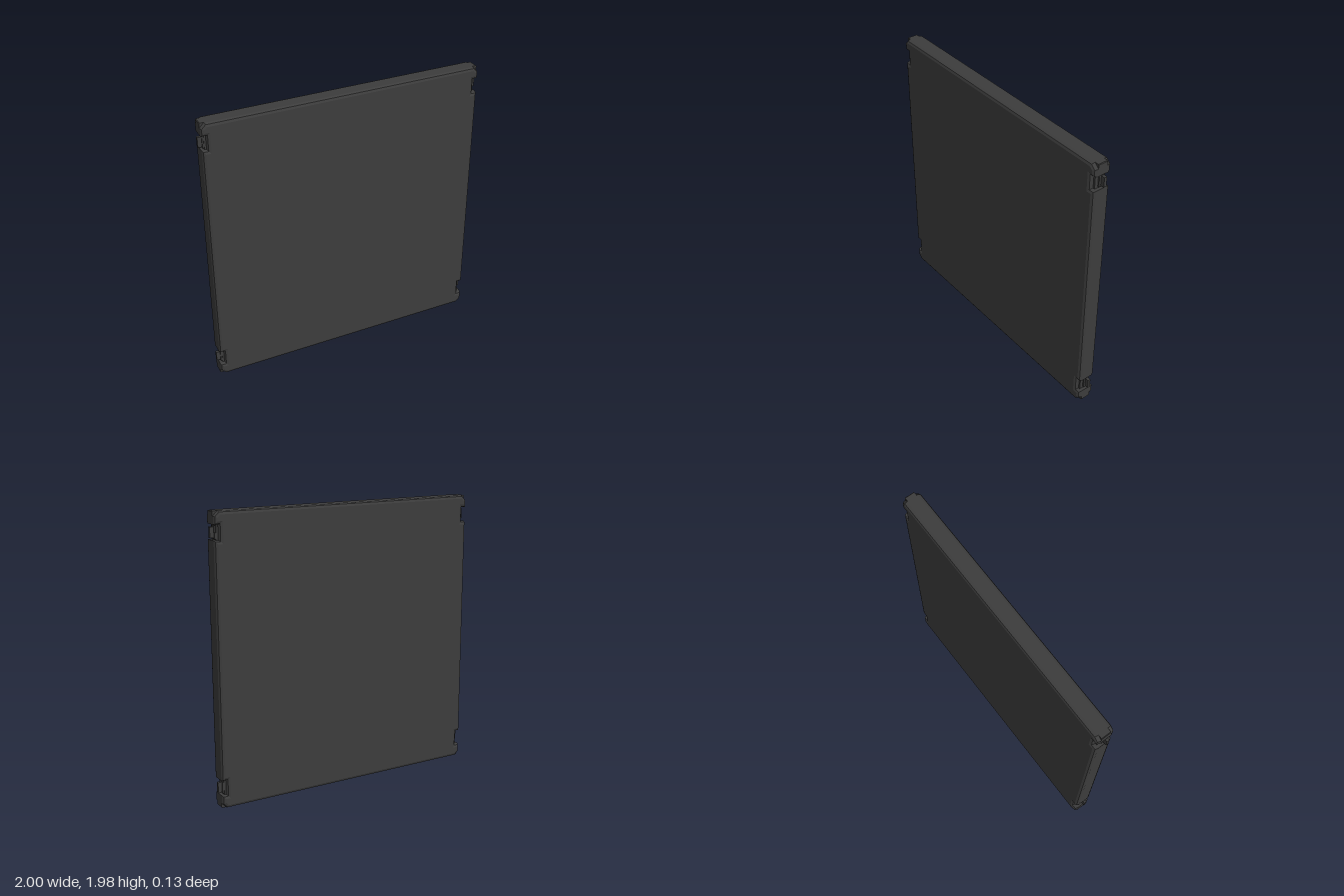
import * as THREE from 'three';

const W = 0.985, H = 1.975, T = 0.065;
const NOTCHES = [[0.09, 0.195], [1.79, 1.89]];

// Panel outline with chamfered corners and two notches down each side
function outline(chamfer, depth) {
  const side = [[W - chamfer, 0], [W, chamfer]];
  for (const [a, b] of NOTCHES) {
    side.push([W, a], [W - depth, a], [W - depth, b], [W, b]);
  }
  side.push([W, H - chamfer], [W - chamfer, H]);
  const mirrored = side.map(([x, y]) => [-x, y]).reverse();
  return new THREE.Shape([...side, ...mirrored].map(([x, y]) => new THREE.Vector2(x, y)));
}

export function createModel() {
  const group = new THREE.Group();
  const material = new THREE.MeshStandardMaterial({ color: 0x3c3c3c });

  const add = (name, geometry, x = 0, y = 0, z = 0) => {
    const mesh = new THREE.Mesh(geometry, material);
    mesh.name = name;
    mesh.position.set(x, y, z);
    group.add(mesh);
  };

  // Main panel with bevelled rims on both faces
  const bevel = 0.022;
  const shell = new THREE.ExtrudeGeometry(outline(0.032, 0.035), {
    depth: 2 * (T - bevel), bevelEnabled: true, bevelThickness: bevel,
    bevelSize: bevel, bevelOffset: -bevel, bevelSegments: 2,
  });
  shell.translate(0, 0, -(T - bevel));
  add('panel', shell);

  // Inner slab: fills the corners and the back of each notch
  const core = new THREE.ExtrudeGeometry(outline(0.004, 0.022), { depth: 0.07, bevelEnabled: false });
  core.translate(0, 0, -0.035);
  add('core', core);

  // Clip in every notch; the sides are half a turn apart
  for (const s of [1, -1]) {
    for (const [a, b] of NOTCHES) {
      const y = (a + b) / 2;
      add('clipTab', new THREE.BoxGeometry(0.06, 0.07, 0.02), s * 0.97, y, -s * 0.013);
      add('clipBase', new THREE.BoxGeometry(0.03, 0.085, 0.042), s * 0.958, y, -s * 0.01);
    }
  }
  return group;
}
